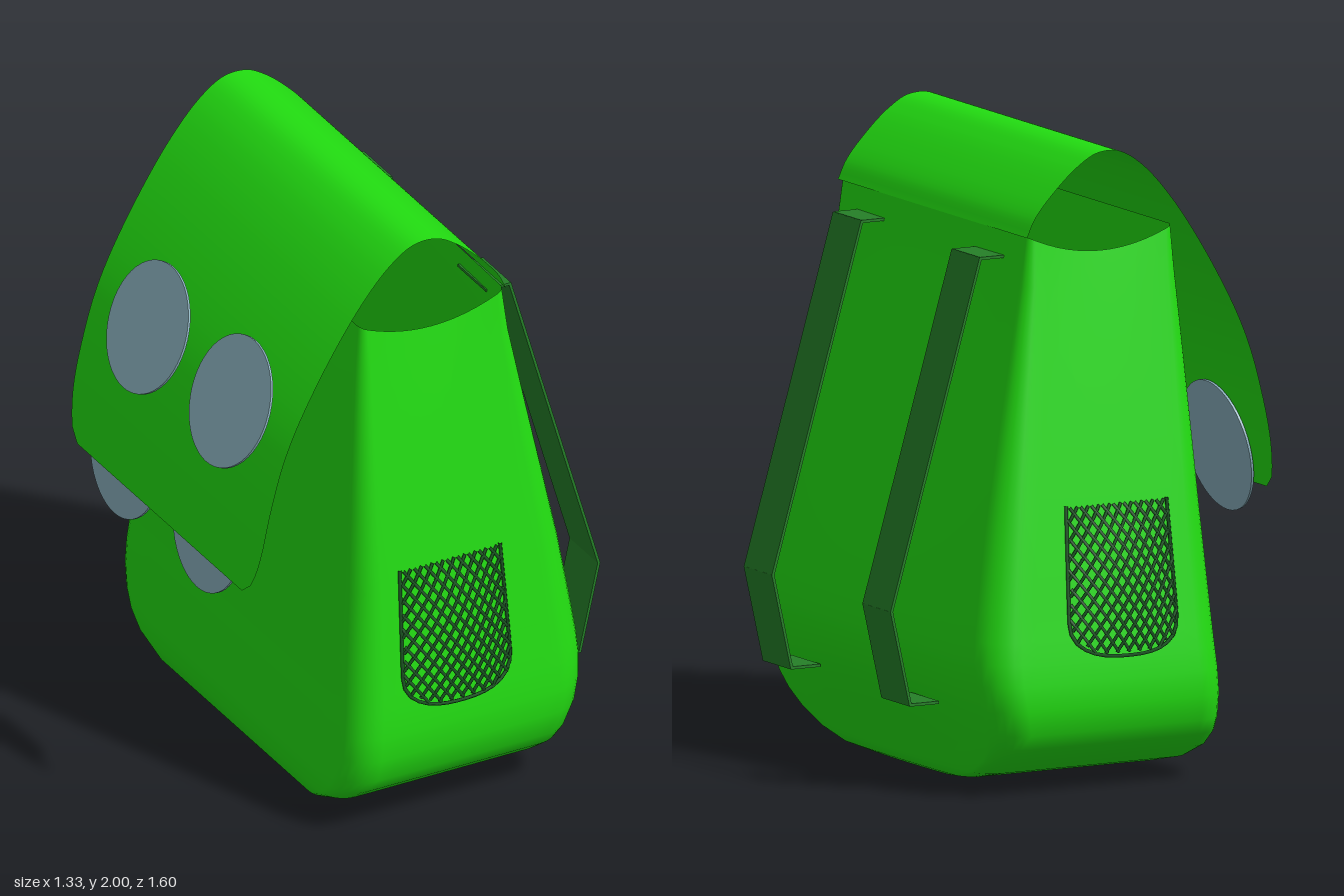
import * as THREE from 'three';
import { mergeGeometries } from 'three/addons/utils/BufferGeometryUtils.js';

const paint = (color, side = THREE.FrontSide) => new THREE.MeshStandardMaterial({ color, side });
const green = paint(0x22dd11, THREE.DoubleSide);
const strapGreen = paint(0x258028);
const netGreen = paint(0x1a5522);
const discBlue = paint(0x88aebb);

function add(parent, name, geometry, material) {
  const mesh = new THREE.Mesh(geometry, material);
  mesh.name = name;
  parent.add(mesh);
  return mesh;
}

// Smooth surface through rows of points; optional loop and cap on the first row
function skin(rows, closed, cap) {
  const n = rows[0].length, index = [], points = rows.flat();
  const last = closed ? n : n - 1;
  for (let j = 0; j < rows.length - 1; j++) {
    for (let i = 0; i < last; i++) {
      const a = j * n + i, b = j * n + (i + 1) % n;
      index.push(a, a + n, b, b, a + n, b + n);
    }
  }
  if (cap) {
    points.push(cap);
    for (let i = 0; i < n; i++) index.push(points.length - 1, i, (i + 1) % n);
  }
  const g = new THREE.BufferGeometry().setFromPoints(points);
  g.setIndex(index);
  g.computeVertexNormals();
  return g;
}

// Body levels: y, x of flap side, x of back corners, x of back middle, half depth, corner radius
const LEVELS = [
  [0.005, -0.32, 0.33, 0.34, 0.30, 0.05],
  [0.02, -0.355, 0.36, 0.37, 0.41, 0.06],
  [0.05, -0.38, 0.37, 0.39, 0.54, 0.07],
  [0.10, -0.392, 0.385, 0.41, 0.65, 0.08],
  [0.15, -0.392, 0.40, 0.432, 0.715, 0.09],
  [0.20, -0.39, 0.415, 0.455, 0.75, 0.1],
  [0.28, -0.385, 0.435, 0.49, 0.77, 0.1],
  [0.36, -0.38, 0.45, 0.513, 0.768, 0.1],
  [0.43, -0.373, 0.453, 0.52, 0.762, 0.1],
  [0.50, -0.368, 0.448, 0.516, 0.754, 0.1],
  [0.60, -0.36, 0.435, 0.50, 0.742, 0.095],
  [0.85, -0.34, 0.40, 0.45, 0.714, 0.085],
  [1.10, -0.322, 0.355, 0.39, 0.683, 0.07],
  [1.35, -0.303, 0.308, 0.33, 0.652, 0.055],
  [1.60, -0.283, 0.262, 0.275, 0.622, 0.04],
  [1.75, -0.27, 0.243, 0.25, 0.606, 0.025],
];

// Rounded rectangle with a bowed back side and a rim that sags between its corners
function bodyRing([y, x0, xe, xm, zh, r]) {
  const ring = [];
  const put = (x, z) => {
    const side = Math.max(0, (x - x0) / (xe - x0));
    const bow = (xm - xe) * Math.pow(side, 6) * (1 - (z / zh) ** 2);
    const u = (2 * x - x0 - xe) / (xe - x0);
    const sag = 0.06 * Math.pow(y / 1.75, 10) * Math.max(0, 1 - u * u);
    ring.push(new THREE.Vector3(x + bow, y - sag, z));
  };
  const corners = [[xe - r, zh - r], [x0 + r, zh - r], [x0 + r, r - zh], [xe - r, r - zh]];
  corners.forEach(([cx, cz], k) => {
    for (let i = 0; i <= 6; i++) {
      const a = (k + i / 6) * Math.PI / 2;
      put(cx + r * Math.cos(a), cz + r * Math.sin(a));
    }
    const end = (k + 1) * Math.PI / 2, [nx, nz] = corners[(k + 1) % 4];
    for (let i = 1; i < 12; i++) {
      put(THREE.MathUtils.lerp(cx, nx, i / 12) + r * Math.cos(end),
        THREE.MathUtils.lerp(cz, nz, i / 12) + r * Math.sin(end));
    }
  });
  return ring;
}

// Flap arching over the opening, with rounded lower corners
function flapGeometry() {
  const path = new THREE.CatmullRomCurve3([
    [0.25, 1.75], [0.22, 1.81], [0.15, 1.89], [0.07, 1.96], [0, 1.998], [-0.08, 1.998], [-0.16, 1.95],
    [-0.27, 1.83], [-0.42, 1.6], [-0.53, 1.38], [-0.593, 1.17], [-0.65, 0.875],
  ].map(([x, y]) => new THREE.Vector3(x, y, 0)));
  const rows = path.getPoints(90).map((p) => {
    const d = p.x < -0.3 ? 1 - Math.min(1, (p.y - 0.875) / 0.22) : 0;
    const half = 0.606 - 0.08 * (1 - Math.sqrt(Math.max(0, 1 - d * d)));
    return Array.from({ length: 13 }, (_, i) => new THREE.Vector3(p.x, p.y, half * (i / 6 - 1)));
  });
  return skin(rows, false);
}

// Webbing strap made of flat lengths end to end
function strapGeometry() {
  const path = [[0.255, 1.672], [0.34, 1.672], [0.657, 0.58], [0.59, 0.28], [0.49, 0.28]];
  return mergeGeometries(path.slice(1).map(([bx, by], i) => {
    const [ax, ay] = path[i];
    const g = new THREE.BoxGeometry(Math.hypot(bx - ax, by - ay) + 0.004, 0.009, 0.18);
    g.rotateZ(Math.atan2(by - ay, bx - ax));
    return g.translate((ax + bx) / 2, (ay + by) / 2, 0);
  }));
}

// Bulging net pocket: crossed diagonal cords clipped to a U shape, plus an edge cord
const CX = -0.01, TOP = 0.91, LOW = 0.437;
const halfWidth = (y) => 0.192 - 0.035 * Math.max(0, y - 0.55);
function pocketPoint(x, y) {
  const u = (x - CX) / halfWidth(y);
  const bulge = 0.045 * Math.max(0, 1 - u * u) * Math.max(0, 1 - ((y - 0.63) / 0.28) ** 2);
  return new THREE.Vector3(x, y, 0.766 - 0.119 * (y - 0.44) + bulge);
}
function inPocket(x, y) {
  const v = Math.max(0, (0.55 - y) / (0.55 - LOW));
  return y <= TOP && Math.abs((x - CX) / halfWidth(y)) ** 2.6 + v ** 2.6 <= 1;
}
function pocketGeometry() {
  const cords = [];
  const cord = (pts, radius) => cords.push(
    new THREE.TubeGeometry(new THREE.CatmullRomCurve3(pts), pts.length, radius, 5));
  for (const slope of [1.4, -1.4]) {
    for (let k = -14; k <= 14; k++) {
      const pts = [];
      for (let y = LOW; y <= TOP + 0.001; y += 0.012) {
        const x = CX + k * 0.0385 + (y - 0.67) / slope;
        if (inPocket(x, y)) pts.push(pocketPoint(x, y));
      }
      if (pts.length > 2) cord(pts, 0.0055);
    }
  }
  const edge = [];
  for (let i = 0; i <= 6; i++) {
    const y = TOP - i * 0.05;
    edge.push(pocketPoint(CX + halfWidth(y), y));
  }
  for (let i = 1; i < 24; i++) {
    const a = i / 24 * Math.PI, c = Math.cos(a);
    const y = 0.55 - (0.55 - LOW) * Math.sin(a) ** (2 / 2.6);
    edge.push(pocketPoint(CX + halfWidth(y) * Math.sign(c) * Math.abs(c) ** (2 / 2.6), y));
  }
  for (let i = 6; i >= 0; i--) {
    const y = TOP - i * 0.05;
    edge.push(pocketPoint(CX - halfWidth(y), y));
  }
  cord(edge, 0.006);
  return mergeGeometries(cords);
}

export function createModel() {
  const pack = new THREE.Group();
  pack.name = 'backpack';

  add(pack, 'body', skin(LEVELS.map(bodyRing), true, new THREE.Vector3(0, 0, 0)), green);
  add(pack, 'flap', flapGeometry(), green);

  const strap = strapGeometry(), pocket = pocketGeometry();
  const disc = new THREE.CylinderGeometry(0.212, 0.212, 0.008, 48).rotateZ(Math.PI / 2);
  for (const side of [1, -1]) {
    const name = side > 0 ? 'left' : 'right';
    add(pack, name + 'Strap', strap, strapGreen).position.z = side * 0.38;

    // Side pockets, the second turned to face the other way
    const net = pocket.clone();
    if (side < 0) net.rotateY(Math.PI).translate(2 * CX, 0, 0);
    add(pack, name + 'Pocket', net, netGreen);

    // Round patches: one outside the flap, one tucked behind its lower edge
    const upper = add(pack, name + 'UpperDisc', disc, discBlue);
    upper.position.set(-0.542, 1.395, side * 0.264);
    upper.rotation.z = -Math.atan2(0.175, 0.39);
    const lower = add(pack, name + 'LowerDisc', disc, discBlue);
    lower.position.set(-0.621, 0.969, side * 0.264);
    lower.rotation.z = -0.19;
  }
  return pack;
}
